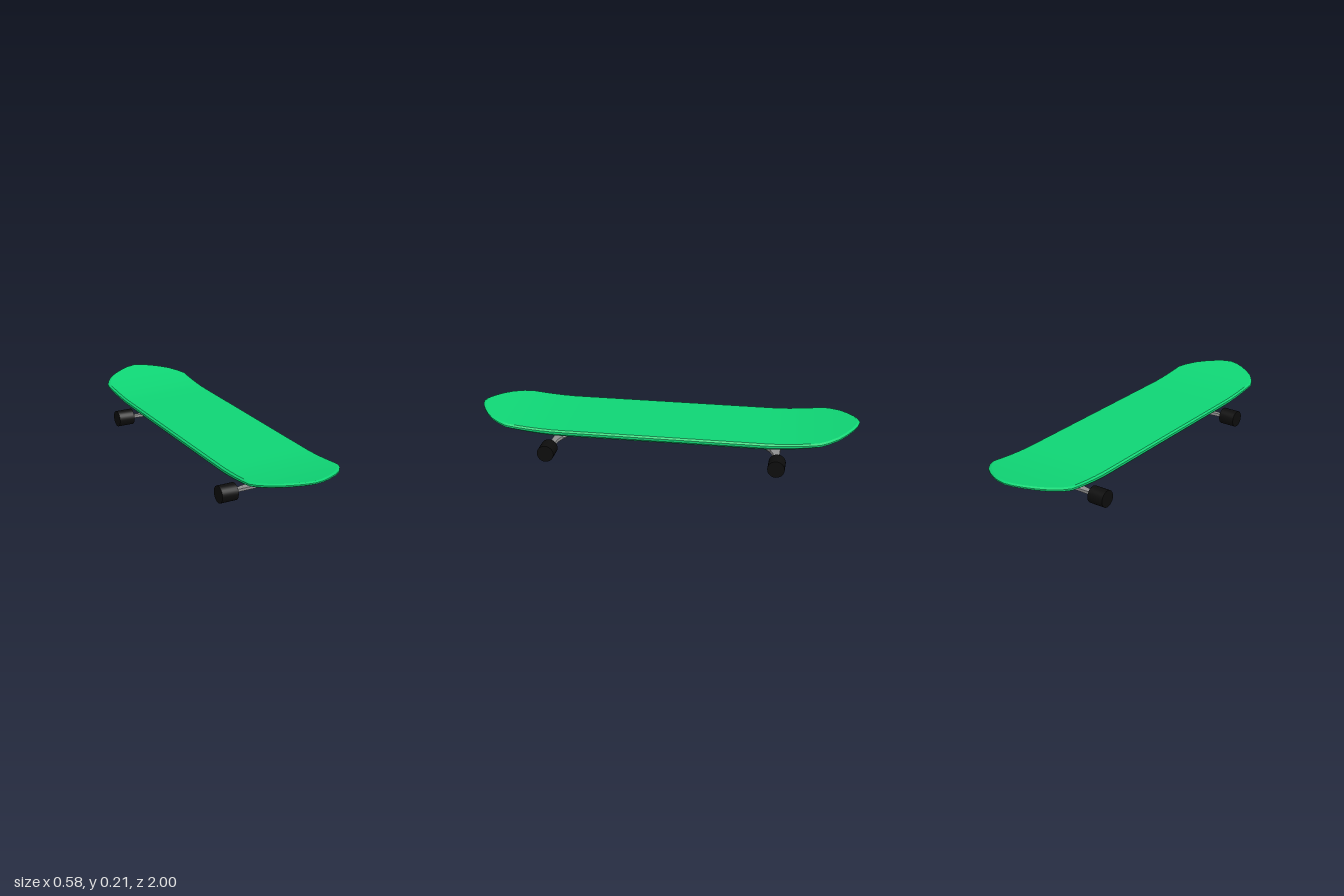
import * as THREE from 'three';
import { toCreasedNormals } from 'three/addons/utils/BufferGeometryUtils.js';

const mat = (color) => new THREE.MeshStandardMaterial({ color });
const green = mat(0x0fd675), metal = mat(0x909090), dark = mat(0x333333), rubber = mat(0x0d0d0d);

function mesh(name, geometry, material, crease = 0.5) {
  const m = new THREE.Mesh(toCreasedNormals(geometry, crease), material);
  m.name = name;
  return m;
}

// Skins rings of [x, y, z] points, ordered by rising z, counterclockwise from +z
function loft(rings) {
  const n = rings[0].length, last = (rings.length - 1) * n, index = [];
  for (let i = 0; i < rings.length - 1; i++) {
    for (let j = 0; j < n; j++) {
      const a = i * n + j, b = i * n + (j + 1) % n;
      index.push(a, b, b + n, a, b + n, a + n);
    }
  }
  for (let j = 1; j < n - 1; j++) {
    index.push(0, j + 1, j, last, last + j, last + j + 1);
  }
  const g = new THREE.BufferGeometry();
  g.setAttribute('position', new THREE.Float32BufferAttribute(rings.flat(2), 3));
  g.setIndex(index);
  return g;
}

// Deck: flat middle, upswept pointed-round ends, bevelled rim
function makeDeck() {
  const half = [[0, 0.248], [0.3, 0.248], [0.5, 0.248], [0.57, 0.248], [0.63, 0.248], [0.69, 0.248],
    [0.75, 0.248], [0.81, 0.247], [0.85, 0.228], [0.9, 0.19], [0.94, 0.14], [0.97, 0.09],
    [0.99, 0.045], [1, 0]];
  const outline = [...half.slice(1).reverse().map(([z, w]) => [-z, w]), ...half];
  const height = (z, depth) => {
    const u = Math.max(0, (Math.abs(z) - 0.55) / 0.45);
    const lift = z > 0 ? 0.046 : 0.052;
    return 0.16 + lift * Math.pow(u, 1.7) - depth * (0.032 - 0.014 * u);
  };
  // [width factor, length factor, depth below the top] up the right edge
  const rim = [[0.95, 0.988, 1], [1, 1, 0.62], [1, 1, 0.25], [0.96, 0.988, 0]];
  const rings = outline.map(([z, w]) => {
    const side = rim.map(([fx, fz, d]) => [w * fx, height(z, d), z * fz]);
    return [...side, ...side.slice().reverse().map(([x, y, zz]) => [-x, y, zz])];
  });
  return mesh('deck', loft(rings), green, 0.4);
}

function makeTruck(name) {
  const truck = new THREE.Group();
  truck.name = name;

  // Tapered octagonal base plate
  const profile = [[0, 0.097], [0.74, 0.097], [0.89, 0.105], [1, 0.131]]
    .map(([r, y]) => new THREE.Vector2(r, y));
  const base = new THREE.LatheGeometry(profile, 8, Math.PI / 8);
  base.scale(0.072, 1, 0.081).translate(0, 0, 0.484);
  truck.add(mesh('basePlate', base, green));

  // Kingpin between base plate and hanger
  const pin = new THREE.CylinderGeometry(0.014, 0.014, 0.036, 12);
  truck.add(mesh('kingpin', pin.translate(0, 0.085, 0.468), dark));

  // Hanger: curved plate flaring out to the axle; [z, y, half width, half thickness]
  const stations = [[0.432, 0.08, 0.035, 0.007], [0.442, 0.08, 0.056, 0.008], [0.465, 0.079, 0.068, 0.008],
    [0.495, 0.072, 0.073, 0.008], [0.525, 0.06, 0.08, 0.008], [0.55, 0.051, 0.092, 0.008],
    [0.567, 0.047, 0.125, 0.008], [0.579, 0.045, 0.2, 0.008], [0.59, 0.045, 0.2, 0.009],
    [0.602, 0.045, 0.2, 0.007]];
  const rings = stations.map(([z, y, w, t]) => [
    [w * 0.95, y - t, z], [w, y, z], [w * 0.95, y + t, z],
    [-w * 0.95, y + t, z], [-w, y, z], [-w * 0.95, y - t, z]]);
  truck.add(mesh('hanger', loft(rings), metal));

  // Axle
  const axle = new THREE.CylinderGeometry(0.009, 0.009, 0.44, 10);
  truck.add(mesh('axle', axle.rotateZ(Math.PI / 2).translate(0, 0.045, 0.59), metal));

  // Wheels
  for (const s of [1, -1]) {
    const wheel = new THREE.CylinderGeometry(0.044, 0.044, 0.088, 24);
    wheel.rotateZ(Math.PI / 2).translate(s * 0.245, 0.044, 0.595);
    truck.add(mesh(s > 0 ? 'leftWheel' : 'rightWheel', wheel, rubber));
  }
  return truck;
}

export function createModel() {
  const model = new THREE.Group();
  model.name = 'skateboard';
  const rear = makeTruck('rearTruck');
  rear.rotation.y = Math.PI;
  model.add(makeDeck(), makeTruck('frontTruck'), rear);
  return model;
}
